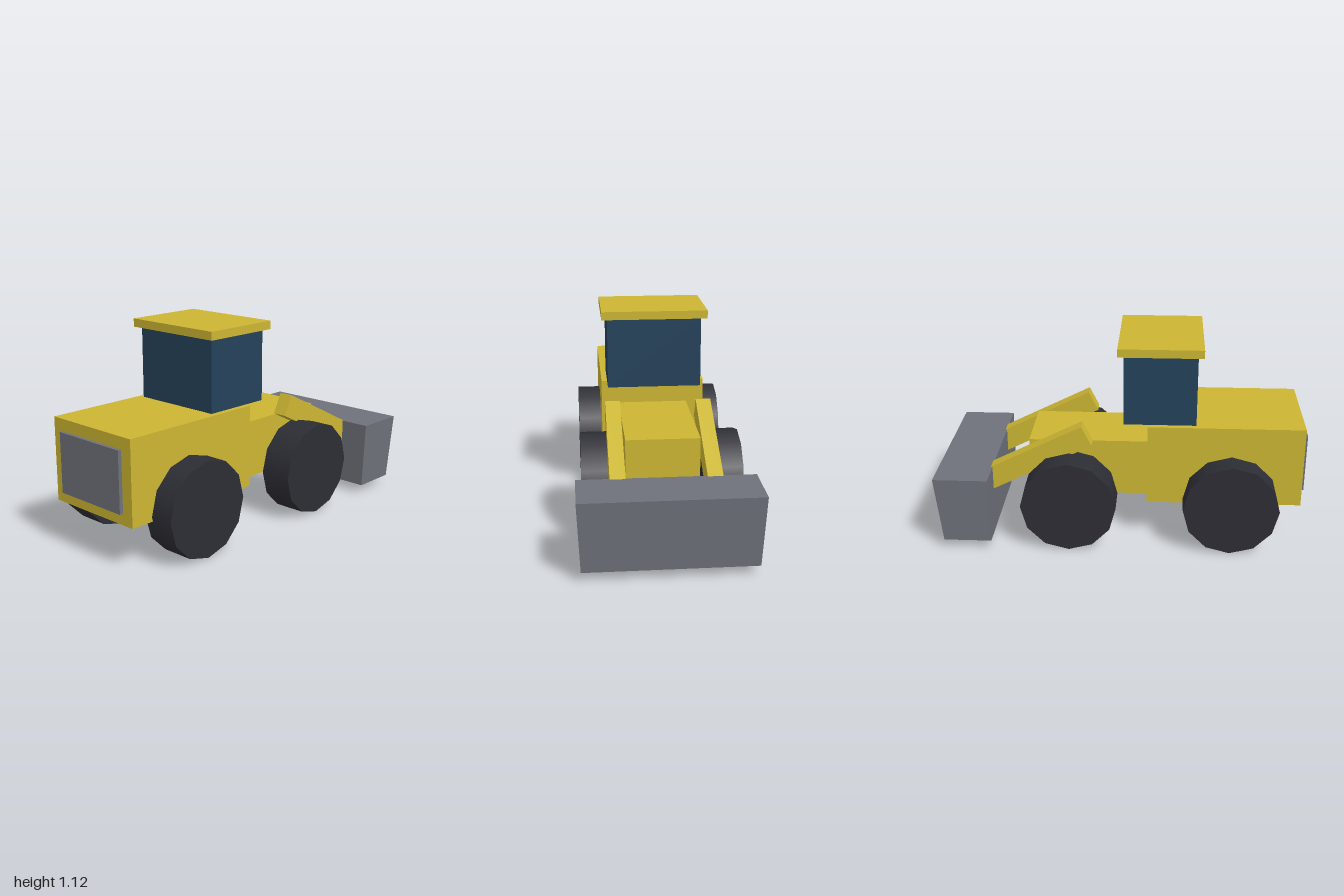
import * as THREE from 'three';

const yellow = new THREE.MeshStandardMaterial({ name: 'yellow paint', color: 0xccb633 });
const blue = new THREE.MeshStandardMaterial({ name: 'blue glass', color: 0x24425a });
const grey = new THREE.MeshStandardMaterial({ name: 'grey steel', color: 0x6e727a });
const rubber = new THREE.MeshStandardMaterial({ name: 'dark rubber', color: 0x2d2d35 });

// Box given by its x and y limits and its half width in z
function block(name, x0, x1, y0, y1, halfZ, material) {
  const mesh = new THREE.Mesh(new THREE.BoxGeometry(x1 - x0, y1 - y0, halfZ * 2), material);
  mesh.position.set((x0 + x1) / 2, (y0 + y1) / 2, 0);
  mesh.name = name;
  return mesh;
}

export function createModel() {
  const digger = new THREE.Group();
  digger.name = 'digger';

  // Body and cab
  digger.add(
    block('rearBody', -0.98, -0.14, 0.235, 0.685, 0.292, yellow),
    block('frontBody', -0.14, 0.51, 0.235, 0.555, 0.195, yellow),
    block('cab', -0.4, -0.01, 0.685, 1.075, 0.26, blue),
    block('roof', -0.43, 0.02, 1.075, 1.12, 0.292, yellow),
    block('rearGrille', -1, -0.98, 0.295, 0.62, 0.225, grey),
  );

  // Twelve-sided wheels
  const wheelGeometry = new THREE.CylinderGeometry(0.259, 0.259, 0.18, 12).rotateX(Math.PI / 2);
  // Lift arm, measured along its length from the raised end
  const armLength = 0.64, armHeight = 0.123;
  const armGeometry = new THREE.BoxGeometry(armLength, armHeight, 0.08)
    .translate(armLength / 2, armHeight / 2, 0);

  for (const side of [1, -1]) {
    for (const [name, x] of [['rearWheel', -0.595], ['frontWheel', 0.283]]) {
      const wheel = new THREE.Mesh(wheelGeometry, rubber);
      wheel.position.set(x, 0.259, side * 0.334);
      wheel.name = name;
      digger.add(wheel);
    }
    const arm = new THREE.Mesh(armGeometry, yellow);
    arm.position.set(0.16, 0.565, side * 0.245);
    arm.rotation.z = -0.464;
    arm.name = 'liftArm';
    digger.add(arm);
  }

  // Bucket: a block that narrows towards its lower edge
  const bucket = block('bucket', 0.706, 1, 0.05, 0.425, 0.455, grey);
  const corners = bucket.geometry.attributes.position;
  for (let i = 0; i < corners.count; i++) {
    if (corners.getY(i) > 0) continue;
    if (corners.getX(i) > 0) corners.setX(i, corners.getX(i) - 0.034);
    corners.setZ(i, corners.getZ(i) * 0.965);
  }
  bucket.geometry.computeVertexNormals();
  digger.add(bucket);

  return digger;
}
